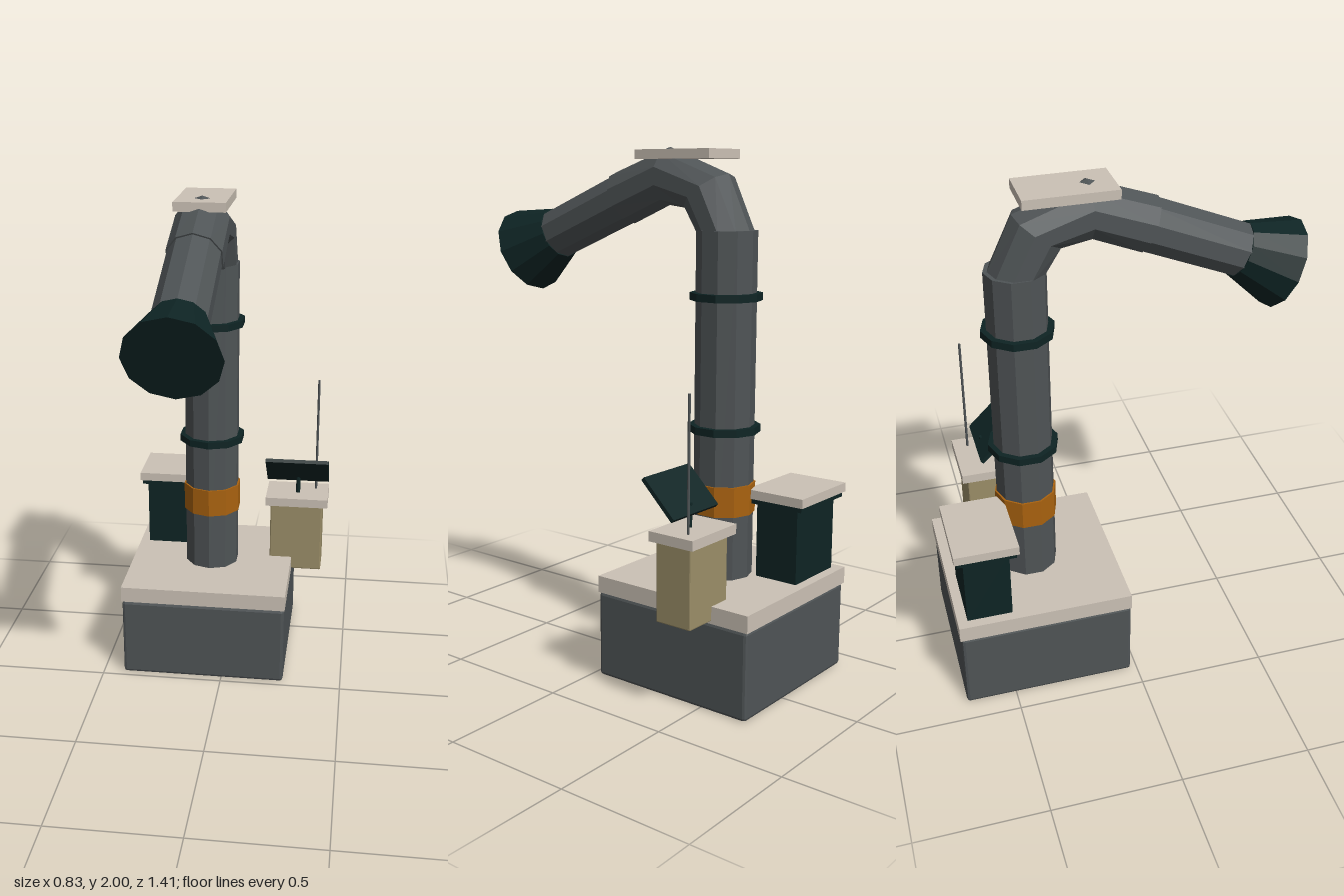
import * as THREE from 'three';
import { RoundedBoxGeometry } from 'three/addons/geometries/RoundedBoxGeometry.js';

const mat = (name, color) => {
  const m = new THREE.MeshStandardMaterial({ color, flatShading: true });
  m.name = name;
  return m;
};

export function createModel() {
  const grey = mat('grey metal', 0x4f5456);
  const stone = mat('pale stone', 0xcbc1b5);
  const teal = mat('dark teal', 0x0e2424);
  const orange = mat('orange', 0xa9620f);
  const tan = mat('tan', 0x9b8e68);

  const model = new THREE.Group();
  const add = (name, geometry, material) => {
    const mesh = new THREE.Mesh(geometry, material);
    mesh.name = name;
    model.add(mesh);
    return mesh;
  };
  // Box given by its lower and upper bounds on each axis
  const box = (name, material, [x0, x1], [y0, y1], [z0, z1], bevel = 0) => {
    const size = [x1 - x0, y1 - y0, z1 - z0];
    const geo = bevel ? new RoundedBoxGeometry(...size, 1, bevel) : new THREE.BoxGeometry(...size);
    const mesh = add(name, geo, material);
    mesh.position.set((x0 + x1) / 2, (y0 + y1) / 2, (z0 + z1) / 2);
    return mesh;
  };
  // Round part between two points [y, z] in a plane of constant x
  const rod = (name, material, x, a, b, rStart, rEnd, sides) => {
    const dy = b[0] - a[0], dz = b[1] - a[1];
    const mesh = add(name, new THREE.CylinderGeometry(rEnd, rStart, Math.hypot(dy, dz), sides), material);
    mesh.position.set(x, (a[0] + b[0]) / 2, (a[1] + b[1]) / 2);
    mesh.rotation.x = Math.atan2(dz, dy);
    return mesh;
  };

  // Base and its slab
  box('base', grey, [-0.415, 0.26], [0, 0.335], [-0.697, -0.025], 0.012);
  box('baseSlab', stone, [-0.418, 0.263], [0.335, 0.4], [-0.703, -0.025]);

  // Upright pipe with band and collars
  const px = -0.078, pz = -0.36;
  const upright = (name, material, y0, y1, r) => rod(name, material, px, [y0, pz], [y1, pz], r, r, 10);
  upright('column', grey, 0.38, 1.7, 0.113);
  upright('orangeBand', orange, 0.645, 0.76, 0.12);
  for (const y of [0.967, 1.46]) upright('collar', teal, y - 0.014, y + 0.014, 0.135);

  // Elbow: a three-piece bend, each row moved to [y, z, lean]
  const rows = [
    [1.69, -0.355, 0],
    [1.838, -0.278, 0.64],
    [1.893, -0.098, 1.57],
    [1.812, 0.114, 1.97],
  ];
  const elbow = new THREE.CylinderGeometry(0.107, 0.107, 1, 10, 3);
  const p = elbow.attributes.position;
  for (let i = 0; i < p.count; i++) {
    const [y, z, lean] = rows[Math.round((p.getY(i) + 0.5) * 3)];
    const out = p.getZ(i);
    p.setXYZ(i, p.getX(i) + px, y - out * Math.sin(lean), z + out * Math.cos(lean));
  }
  elbow.computeVertexNormals();
  add('elbow', elbow, grey);

  // Arm and flared mouth
  rod('arm', grey, px, [1.825, 0.08], [1.663, 0.472], 0.102, 0.102, 10);
  rod('flaredMouth', teal, px, [1.667, 0.463], [1.592, 0.633], 0.104, 0.173, 12);

  // Plate on top of the elbow
  box('topPlate', stone, [-0.175, 0.02], [1.955, 1.99], [-0.345, -0.005]);

  // Rear cabinet
  box('cabinet', teal, [-0.38, -0.115], [0.39, 0.69], [-0.665, -0.49]);
  box('cabinetTrim', teal, [-0.4, -0.1], [0.685, 0.705], [-0.69, -0.465]);
  box('cabinetLid', stone, [-0.408, -0.09], [0.705, 0.74], [-0.7, -0.455]);

  // Side box with antenna and tilted panel
  box('sideBox', tan, [0.168, 0.39], [0.345, 0.645], [-0.55, -0.4], 0.005);
  box('sideBoxLid', stone, [0.148, 0.412], [0.645, 0.682], [-0.573, -0.385]);
  rod('antenna', grey, 0.357, [0.68, -0.515], [1.175, -0.515], 0.005, 0.005, 8);
  rod('panelPost', teal, 0.282, [0.68, -0.466], [0.77, -0.466], 0.009, 0.009, 8);
  const panel = box('panel', teal, [0.148, 0.412], [0.792, 0.808], [-0.515, -0.33]);
  panel.position.z = -0.423;
  panel.rotation.x = -Math.PI / 4;

  return model;
}
